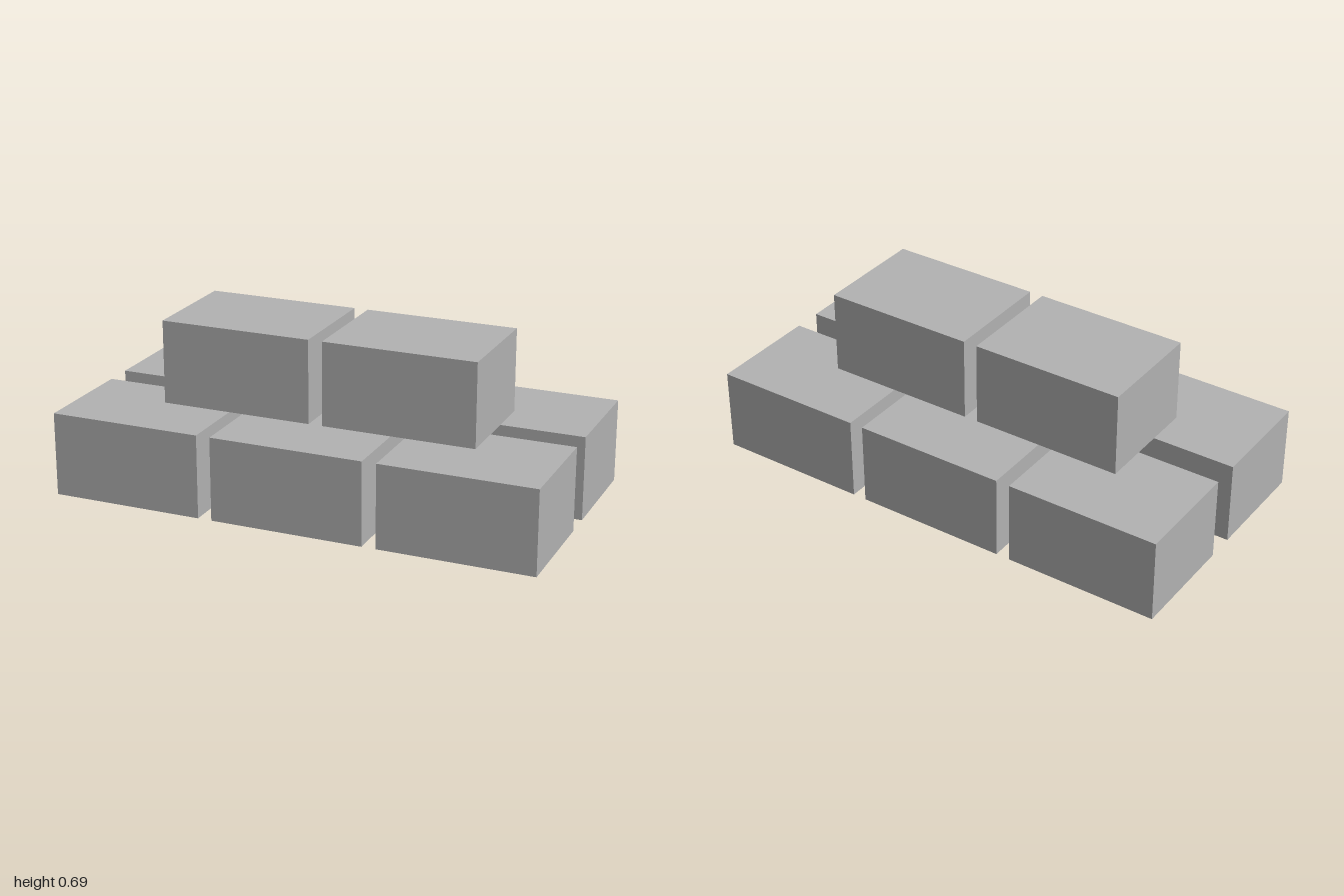
import * as THREE from 'three';

// One unit is a 35th of the full length
const U = 2 / 35;
const WIDTH = 11 * U, HEIGHT = 6 * U, DEPTH = 8 * U;

export function createModel() {
  const model = new THREE.Group();
  model.name = 'blockStack';

  const grey = new THREE.MeshStandardMaterial({ color: 0xb2b2b2 });
  grey.name = 'grey';
  const geometry = new THREE.BoxGeometry(WIDTH, HEIGHT, DEPTH);

  const addBlock = (name, x, layer, z) => {
    const block = new THREE.Mesh(geometry, grey);
    block.name = name;
    block.position.set(x, (layer + 0.5) * HEIGHT, z);
    model.add(block);
  };

  // Lower layer: two rows of three, with narrow gaps between them
  for (const [row, z] of [['Front', 5 * U], ['Back', -5 * U]]) {
    for (const [column, x] of [['Right', -12 * U], ['Middle', 0], ['Left', 12 * U]]) {
      addBlock(`lower${row}${column}Block`, x, 0, z);
    }
  }

  // Upper layer: two blocks bridging the gaps
  addBlock('upperRightBlock', -6 * U, 1, 0);
  addBlock('upperLeftBlock', 6 * U, 1, 0);

  return model;
}
